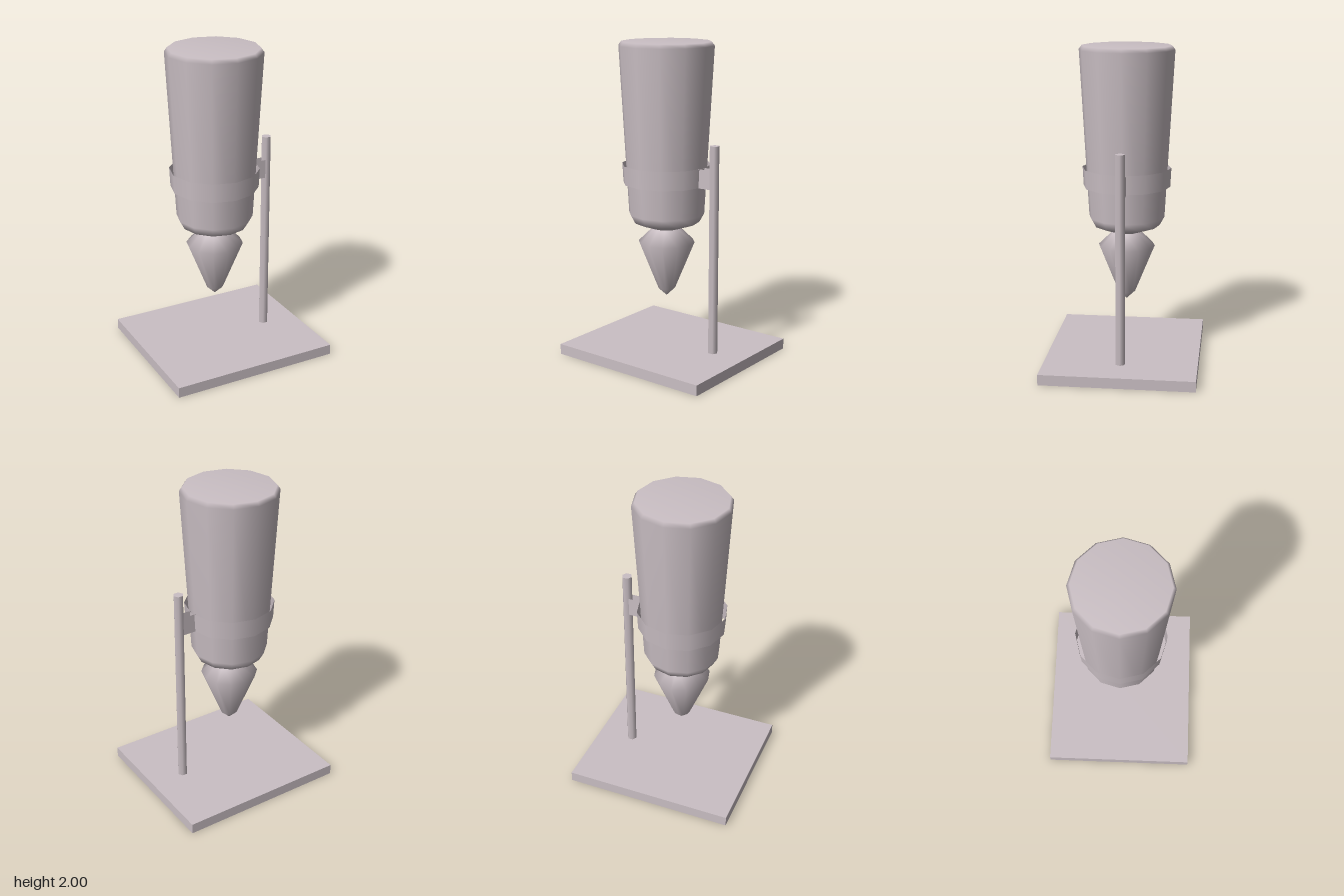
import * as THREE from 'three';

export function createModel() {
  const model = new THREE.Group();
  const material = new THREE.MeshStandardMaterial({ color: 0xcabfc4, side: THREE.DoubleSide });
  const bodyX = -0.05;
  const postX = 0.318;

  function add(name, geometry, x = 0, y = 0, z = 0) {
    const mesh = new THREE.Mesh(geometry, material);
    mesh.name = name;
    mesh.position.set(x, y, z);
    model.add(mesh);
    return mesh;
  }

  // Twelve-sided smooth turned part from [radius, height] pairs, bottom to top
  const turned = (profile) =>
    new THREE.LatheGeometry(profile.map(([r, y]) => new THREE.Vector2(r, y)), 12);

  // Base plate, hollow underneath: drop the bottom face of a box
  const plate = new THREE.BoxGeometry(1.09, 0.067, 0.96);
  const faces = Array.from(plate.index.array);
  faces.splice(18, 6);
  plate.setIndex(faces);
  plate.clearGroups();
  add('basePlate', plate, 0, 0.0335, 0);

  // Hexagonal post
  const post = add('post', new THREE.CylinderGeometry(0.032, 0.032, 1.325, 6), postX, 0.7275, 0);
  post.rotation.y = Math.PI / 6;

  // Tapered container and the pointed nozzle below its neck
  add('container', turned([
    [0.085, 0.825], [0.21, 0.87], [0.24, 0.925], [0.298, 1.975], [0.28, 2], [0, 2],
  ]), bodyX);
  add('nozzle', turned([
    [0, 0.375], [0.055, 0.427], [0.18, 0.735], [0.085, 0.828],
  ]), bodyX);

  // Thin clamp band around the container
  add('clampBand', new THREE.CylinderGeometry(0.281, 0.275, 0.12, 12, 1, true), bodyX, 1.18, 0);

  // Two thin cheeks joining the band to the post
  for (const side of [1, -1]) {
    const cheek = add('clampArm', new THREE.PlaneGeometry(0.085, 0.12), 0.2575, 1.18, side * 0.026);
    if (side < 0) cheek.rotation.y = Math.PI;
  }

  return model;
}
